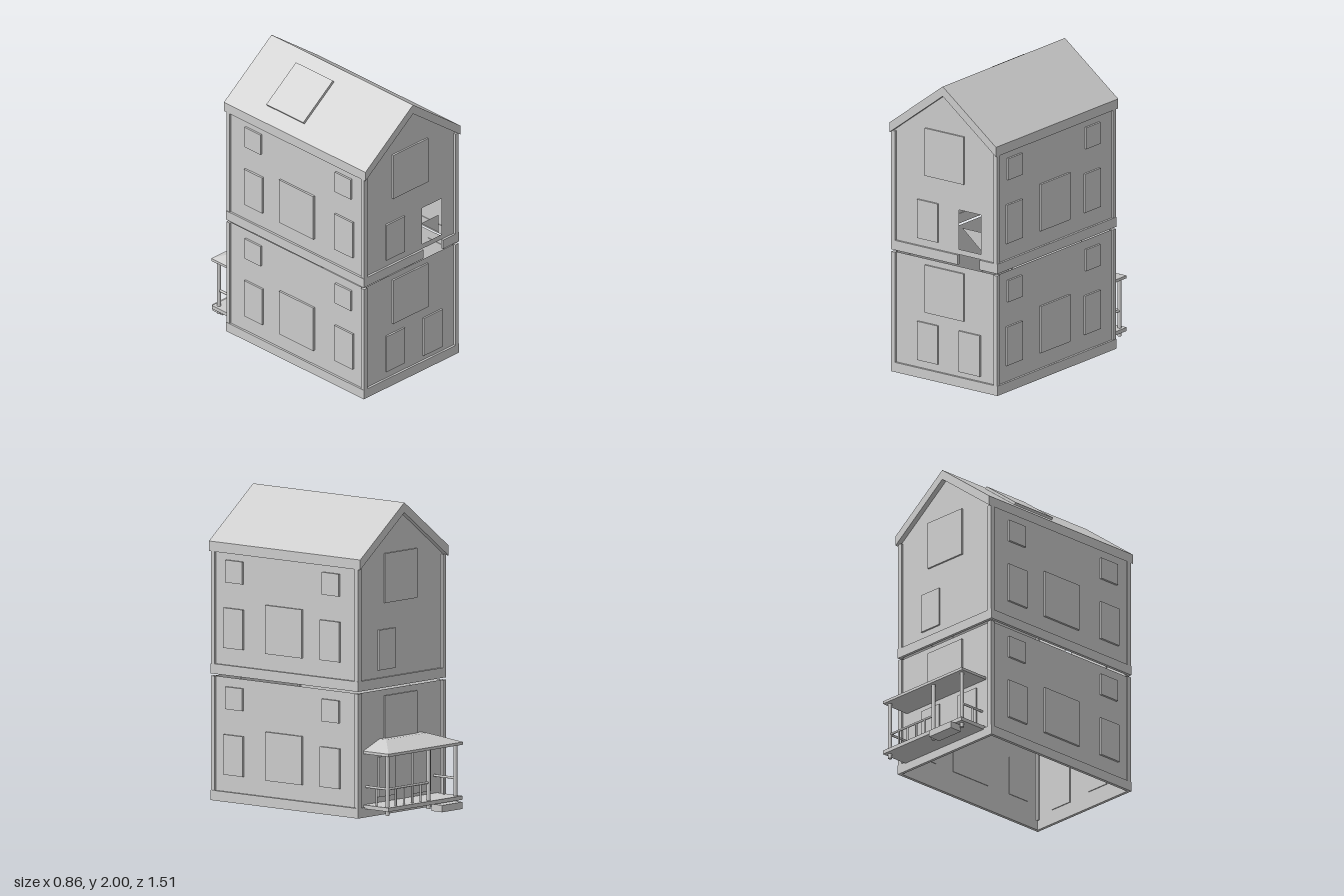
import * as THREE from 'three';

const mat = new THREE.MeshStandardMaterial({ color: 0xcccccc, side: THREE.DoubleSide });

const WX = 0.415, ZF = 0.725, ZB = -0.495; // wall planes
const ZC = (ZF + ZB) / 2, DEPTH = ZF - ZB;

function add(parent, name, geo, x = 0, y = 0, z = 0) {
  const m = new THREE.Mesh(geo, mat);
  m.name = name;
  m.position.set(x, y, z);
  parent.add(m);
  return m;
}

// Box given by its min and max on each axis
function box(parent, name, x0, x1, y0, y1, z0, z1) {
  return add(parent, name, new THREE.BoxGeometry(x1 - x0, y1 - y0, z1 - z0),
    (x0 + x1) / 2, (y0 + y1) / 2, (z0 + z1) / 2);
}

function polygon(pts) {
  return new THREE.Shape(pts.map(([x, y]) => new THREE.Vector2(x, y)));
}

function rect(x0, x1, y0, y1) {
  return [[x0, y0], [x1, y0], [x1, y1], [x0, y1]];
}

// Windows on both long sides and both ends, starting at height y
function addWindows(parent, y, upper) {
  const side = [
    [-0.03, 0.28, 0.17, 0.485],
    [0.47, 0.635, 0.175, 0.435], [-0.35, -0.185, 0.175, 0.435],
    [0.475, 0.62, 0.6, 0.745], [-0.345, -0.2, 0.6, 0.745],
  ];
  for (const s of [1, -1]) {
    for (const [z0, z1, y0, y1] of side) {
      const m = box(parent, 'sideWindow', 0, 0.018, y + y0, y + y1, z0, z1);
      m.position.x = s * (WX + 0.005);
    }
  }
  const off = upper ? 0.92 : 0.445 - 0.445;
  for (const s of [1, -1]) {
    const z = s > 0 ? ZF + 0.003 : ZB - 0.003;
    const end = (name, x0, x1, y0, y1) => {
      const a = s * x0, b = s * x1;
      box(parent, name, Math.min(a, b), Math.max(a, b), y0, y1, z - 0.009, z + 0.009);
    };
    end('largeWindow', -0.16, 0.155, off + 0.445, off + 0.765);
    end('endWindow', -0.22, -0.055, y + 0.115, y + 0.375);
    if (!upper) end('door', 0.115, 0.285, 0.1, 0.375);
  }
}

function addCornerPosts(parent, y0, y1) {
  for (const x of [-0.412, 0.412]) {
    for (const z of [ZF, ZB]) box(parent, 'cornerPost', x - 0.015, x + 0.015, y0, y1, z - 0.015, z + 0.015);
  }
}

// Band around the walls, open in the middle; gap leaves a doorway in the front
function addBand(parent, name, y0, y1, gap) {
  for (const s of [1, -1]) box(parent, name, s * 0.42 - 0.01, s * 0.42 + 0.01, y0, y1, -0.51, 0.74);
  box(parent, name, -0.43, 0.43, y0, y1, -0.51, -0.49);
  if (gap) {
    box(parent, name, -0.43, 0.11, y0, y1, 0.72, 0.74);
    box(parent, name, 0.285, 0.43, y0, y1, 0.72, 0.74);
  } else box(parent, name, -0.43, 0.43, y0, y1, 0.72, 0.74);
}

function addSideWalls(parent, y0, y1) {
  for (const s of [1, -1]) {
    add(parent, 'sideWall', new THREE.PlaneGeometry(DEPTH, y1 - y0), s * WX, (y0 + y1) / 2, ZC)
      .rotation.y = s * Math.PI / 2;
  }
}

function lowerStorey() {
  const g = new THREE.Group();
  g.name = 'lowerStorey';
  addBand(g, 'baseBand', 0, 0.065, false);
  addSideWalls(g, 0.06, 0.805);
  for (const z of [ZF, ZB]) {
    add(g, 'endWall', new THREE.PlaneGeometry(2 * WX, 0.745), 0, 0.4325, z).rotation.y = z > 0 ? 0 : Math.PI;
  }
  addCornerPosts(g, 0.065, 0.805);
  addWindows(g, 0, false);
  return g;
}

function upperStorey() {
  const g = new THREE.Group();
  g.name = 'upperStorey';
  addBand(g, 'floorBand', 0.82, 0.885, true);
  addSideWalls(g, 0.885, 1.63);
  const gable = () => polygon([[-WX, 0.885], [WX, 0.885], [WX, 1.625], [0, 1.94], [-WX, 1.625]]);
  const front = gable();
  front.holes.push(polygon(rect(0.11, 0.285, 0.92, 1.185)));
  add(g, 'frontGable', new THREE.ShapeGeometry(front), 0, 0, ZF);
  add(g, 'backGable', new THREE.ShapeGeometry(gable()), 0, 0, ZB).rotation.y = Math.PI;
  // Half-covered doorways
  add(g, 'frontDoorPanel', new THREE.ShapeGeometry(polygon([[0.12, 1.06], [0.28, 0.93], [0.28, 1.06]])), 0, 0, ZF - 0.02);
  add(g, 'backDoorPanel', new THREE.ShapeGeometry(polygon([[0.11, 0.93], [0.28, 0.93], [0.11, 1.185]])), 0, 0, ZB - 0.006)
    .rotation.y = Math.PI;
  addCornerPosts(g, 0.885, 1.62);
  addWindows(g, 0.82, true);
  return g;
}

function roof() {
  const g = new THREE.Group();
  g.name = 'roof';
  const outline = polygon([[-0.43, 1.61], [0, 1.935], [0.43, 1.61], [0.43, 1.675], [0, 2], [-0.43, 1.675]]);
  add(g, 'roofSlopes', new THREE.ExtrudeGeometry(outline, { depth: 1.285, bevelEnabled: false }), 0, 0, -0.53);
  const slope = Math.atan2(0.325, 0.43);
  add(g, 'skylight', new THREE.BoxGeometry(0.335, 0.03, 0.335), -0.212, 1.843, -0.053).rotation.z = slope;
  return g;
}

// Hipped porch roof leaning on the back wall, from three outlines
function porchRoofGeometry() {
  const ring = (x0, x1, z, y) => [[x0, y, ZB], [x0, y, z], [x1, y, z], [x1, y, ZB]];
  const rings = [ring(-0.365, 0.36, -0.71, 0.41), ring(-0.365, 0.36, -0.71, 0.428), ring(-0.2, 0.2, -0.55, 0.49)];
  const pos = [];
  const quad = (a, b, c, d) => pos.push(...a, ...b, ...c, ...a, ...c, ...d);
  for (let r = 0; r < 2; r++) {
    for (let i = 0; i < 4; i++) {
      const j = (i + 1) % 4;
      quad(rings[r][i], rings[r + 1][i], rings[r + 1][j], rings[r][j]);
    }
  }
  quad(...rings[0]);
  quad(...[...rings[2]].reverse());
  const geo = new THREE.BufferGeometry();
  geo.setAttribute('position', new THREE.Float32BufferAttribute(pos, 3));
  geo.computeVertexNormals();
  return geo;
}

function porch() {
  const g = new THREE.Group();
  g.name = 'porch';
  const zPost = -0.675;
  const upright = (name, r, x, z, y0, y1) =>
    add(g, name, new THREE.CylinderGeometry(r, r, y1 - y0, 12), x, (y0 + y1) / 2, z);
  add(g, 'porchRoof', porchRoofGeometry());
  box(g, 'porchFloor', -0.36, 0.36, 0.055, 0.08, -0.71, ZB);
  box(g, 'step', -0.31, -0.11, 0.005, 0.05, -0.755, -0.665);
  for (const x of [-0.33, -0.07, 0.33]) {
    upright('porchPost', 0.013, x, zPost, 0.08, 0.415);
    upright('porchFoot', 0.013, x, zPost, 0.025, 0.055);
  }
  // Railings along the back and on both sides
  add(g, 'backRail', new THREE.CylinderGeometry(0.008, 0.008, 0.4, 10), 0.13, 0.195, zPost).rotation.z = Math.PI / 2;
  for (let i = 1; i < 5; i++) upright('baluster', 0.007, 0.33 - i * 0.08, zPost, 0.08, 0.195);
  for (const x of [-0.33, 0.33]) {
    add(g, 'sideRail', new THREE.CylinderGeometry(0.008, 0.008, 0.18, 10), x, 0.195, -0.585).rotation.x = Math.PI / 2;
    upright('baluster', 0.007, x, -0.58, 0.08, 0.195);
  }
  return g;
}

export function createModel() {
  const house = new THREE.Group();
  house.name = 'house';
  house.add(lowerStorey(), upperStorey(), roof(), porch());
  return house;
}
